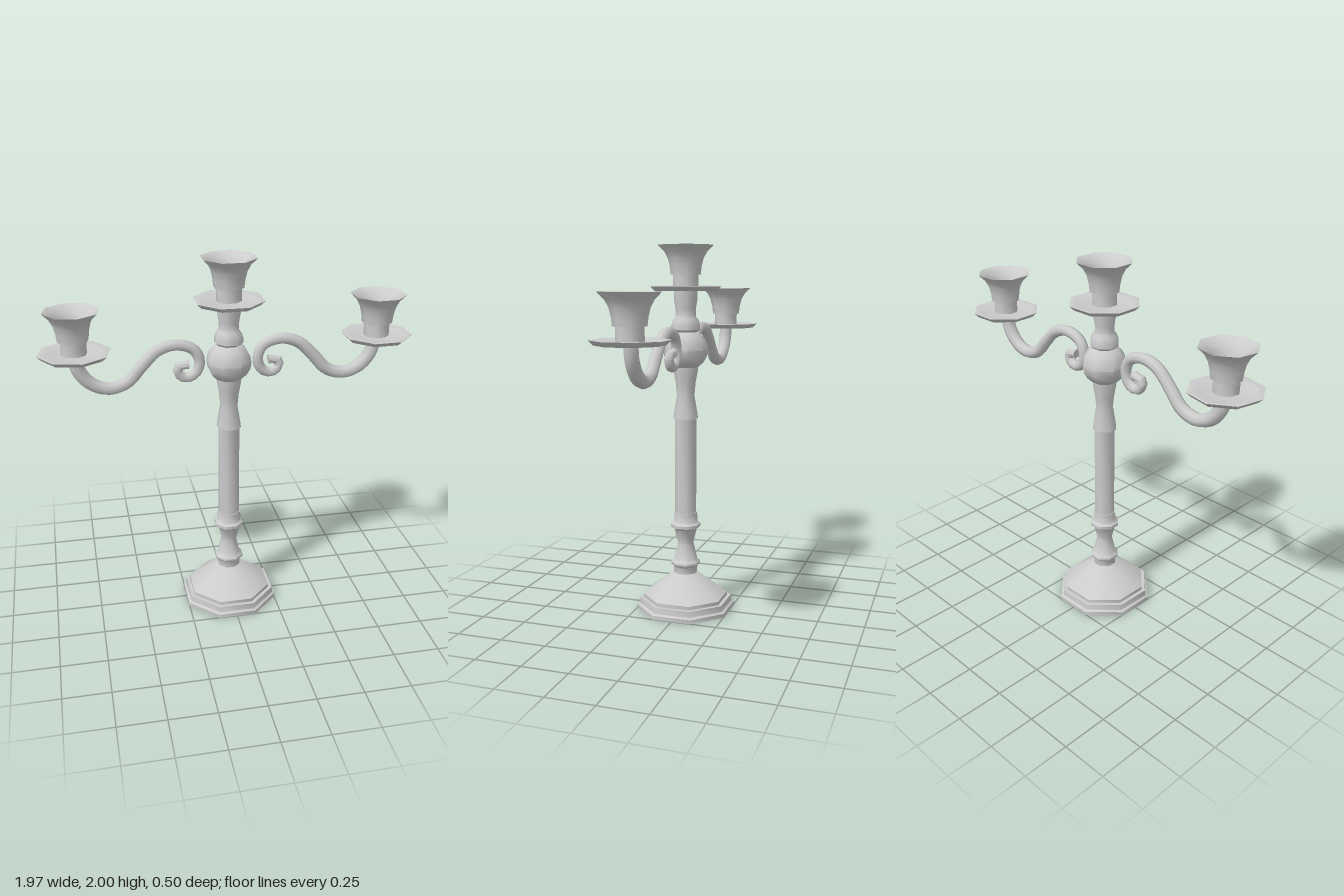
import * as THREE from 'three';
import { toCreasedNormals } from 'three/addons/utils/BufferGeometryUtils.js';

const SIDES = 8;
const CREASE = 0.84;
const material = new THREE.MeshStandardMaterial({ color: 0xcccccc });

function part(name, geometry) {
  const mesh = new THREE.Mesh(toCreasedNormals(geometry, CREASE), material);
  mesh.name = name;
  return mesh;
}

// Octagonal turning; profile radii are measured to the flats
function turned(name, profile, startDeg = 22.5) {
  const k = 1 / Math.cos(Math.PI / SIDES);
  const points = profile.map(([r, y]) => new THREE.Vector2(r * k, y));
  return part(name, new THREE.LatheGeometry(points, SIDES, THREE.MathUtils.degToRad(startDeg)));
}

// Drip plate with the flared candle cup standing on it
function candleHolder(name, x, y, startDeg) {
  const group = new THREE.Group();
  group.name = name;
  group.add(turned('dripPlate', [
    [0, 0], [0.153, 0], [0.176, 0.024], [0.17, 0.026], [0.14, 0.016], [0, 0.016],
  ], startDeg));
  group.add(turned('candleCup', [
    [0.062, 0.016], [0.062, 0.085], [0.074, 0.085], [0.079, 0.13], [0.088, 0.17],
    [0.105, 0.205], [0.137, 0.24], [0.105, 0.222], [0.082, 0.19], [0.066, 0.15], [0.064, 0.13], [0, 0.13],
  ], startDeg));
  group.position.set(x, y, 0);
  return group;
}

// Scrolled arm: a tube tapering from the plate to the capped curl
function scrollArm(name) {
  const path = new THREE.CatmullRomCurve3([
    [0.212, 1.445], [0.25, 1.448], [0.272, 1.41], [0.232, 1.372], [0.178, 1.392], [0.155, 1.455], [0.185, 1.525],
    [0.28, 1.556], [0.375, 1.53], [0.46, 1.45], [0.535, 1.37], [0.63, 1.342],
    [0.72, 1.375], [0.78, 1.45], [0.798, 1.54],
  ].map(([x, y]) => new THREE.Vector3(x, y, 0)));
  const steps = 44;
  const geometry = new THREE.TubeGeometry(path, steps, 1, SIDES);
  const pos = geometry.attributes.position;
  const v = new THREE.Vector3();
  for (let i = 0; i <= steps; i++) {
    const centre = path.getPointAt(i / steps);
    // The first two rings share a centre to close the curl's end
    const target = i === 1 ? path.getPointAt(0) : centre;
    const radius = i === 0 ? 0 : 0.026 + 0.012 * (i / steps);
    for (let j = 0; j <= SIDES; j++) {
      const n = i * (SIDES + 1) + j;
      v.fromBufferAttribute(pos, n).sub(centre).multiplyScalar(radius).add(target);
      pos.setXYZ(n, v.x, v.y, v.z);
    }
  }
  return part(name, geometry);
}

export function createModel() {
  const model = new THREE.Group();
  model.name = 'candelabra';

  // Stepped foot
  model.add(turned('base', [
    [0, 0], [0.252, 0], [0.252, 0.022], [0.24, 0.03], [0.236, 0.062], [0.217, 0.062],
    [0.217, 0.082], [0.062, 0.205], [0, 0.205],
  ]));

  // Lower baluster between two rings
  model.add(turned('lowerStem', [
    [0.06, 0.2], [0.06, 0.24], [0.075, 0.255], [0.075, 0.268], [0.06, 0.282], [0.04, 0.375],
    [0.058, 0.455], [0.076, 0.468], [0.076, 0.484], [0.062, 0.495], [0.058, 0.55], [0.054, 0.55],
  ]));

  // Main shaft and the waisted neck above it
  model.add(turned('shaft', [[0.054, 0.54], [0.054, 1.08]]));
  model.add(turned('neck', [
    [0.05, 1.075], [0.062, 1.075], [0.058, 1.11], [0.044, 1.2], [0.05, 1.27], [0.062, 1.34], [0.062, 1.36],
  ]));

  // Ball joint
  const ball = [];
  for (let i = 0; i <= 10; i++) {
    const a = (i / 10) * Math.PI;
    ball.push([0.112 * Math.sin(a), 1.447 - 0.112 * Math.cos(a)]);
  }
  model.add(turned('ball', ball));

  // Collar and upper stem
  model.add(turned('upperStem', [
    [0.055, 1.54], [0.072, 1.555], [0.072, 1.578], [0.064, 1.605], [0.05, 1.625], [0.05, 1.665],
    [0.058, 1.715], [0.058, 1.765],
  ]));
  model.add(candleHolder('centreHolder', 0, 1.76, 22.5));

  // Side arms and their holders
  const leftArm = scrollArm('leftArm');
  const rightArm = scrollArm('rightArm');
  rightArm.rotation.y = Math.PI;
  model.add(leftArm, rightArm);
  model.add(candleHolder('leftHolder', 0.805, 1.527, 24.5));
  model.add(candleHolder('rightHolder', -0.797, 1.527, 10));

  return model;
}
